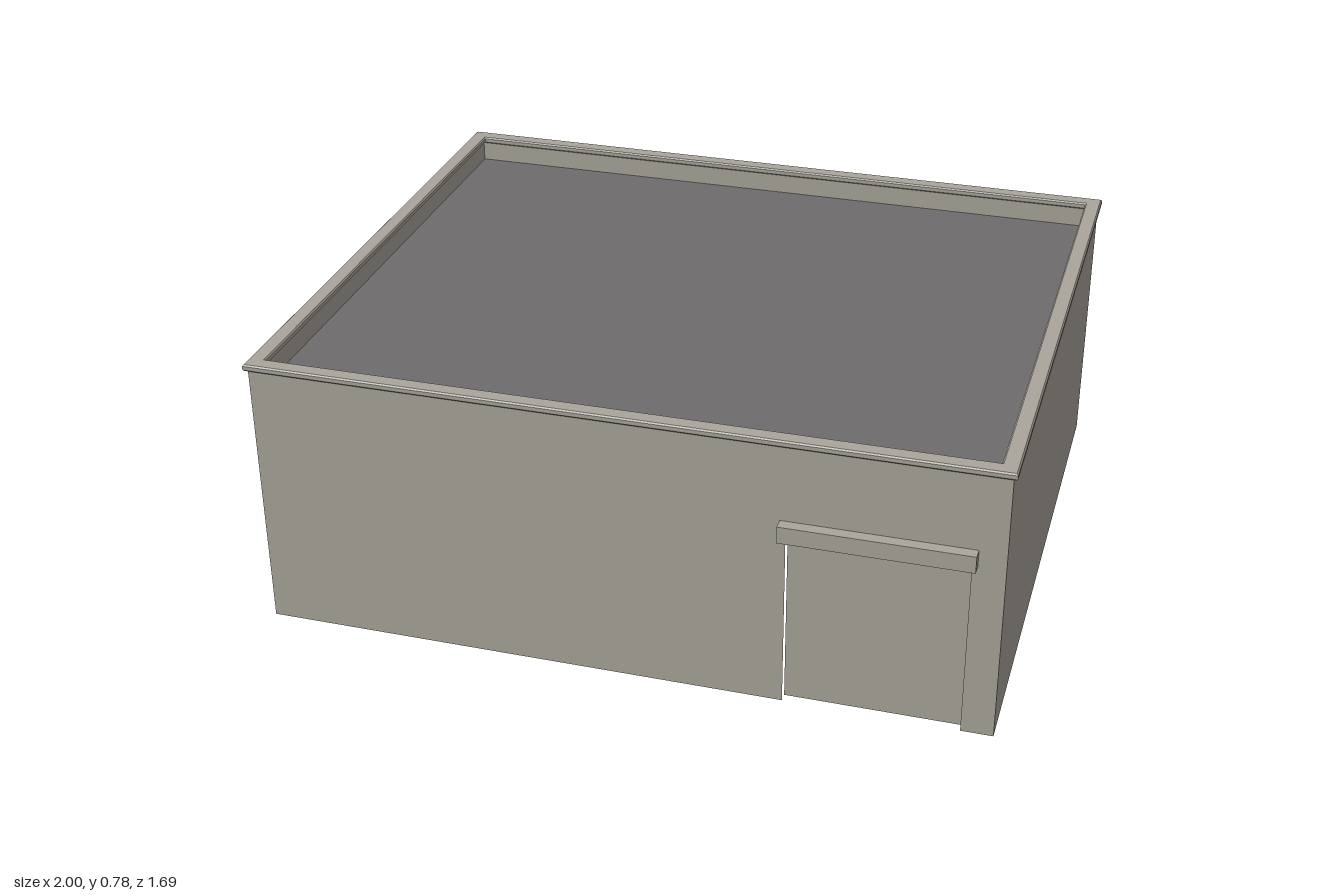
import * as THREE from 'three';

const X = 0.99, Z_FRONT = 0.813, Z_BACK = -0.833; // outer wall planes
const ZC = (Z_FRONT + Z_BACK) / 2, DEPTH = Z_FRONT - Z_BACK;
const WALL_H = 0.758, ROOF_Y = 0.70, INSET = 0.027;
const DOOR = { x0: 0.44, x1: 0.905, top: 0.51, recess: 0.024 };

export function createModel() {
  const wallMat = new THREE.MeshStandardMaterial({ color: 0xaaa69c, side: THREE.DoubleSide });
  wallMat.name = 'concrete';
  const roofMat = new THREE.MeshStandardMaterial({ color: 0x6e6c6d, side: THREE.DoubleSide });
  roofMat.name = 'roofing';
  const model = new THREE.Group();
  model.name = 'flatRoofBuilding';

  const add = (name, geometry, material, x = 0, y = 0, z = 0, rx = 0, ry = 0) => {
    const mesh = new THREE.Mesh(geometry, material);
    mesh.name = name;
    mesh.position.set(x, y, z);
    mesh.rotation.set(rx, ry, 0);
    model.add(mesh);
    return mesh;
  };

  // Front wall outline, running around the doorway
  const front = new THREE.Shape([
    [-X, 0], [DOOR.x0, 0], [DOOR.x0, DOOR.top], [DOOR.x1, DOOR.top],
    [DOOR.x1, 0], [X, 0], [X, WALL_H], [-X, WALL_H],
  ].map(([x, y]) => new THREE.Vector2(x, y)));
  add('frontWall', new THREE.ShapeGeometry(front), wallMat, 0, 0, Z_FRONT);

  // Remaining thin outer walls
  add('backWall', new THREE.PlaneGeometry(2 * X, WALL_H), wallMat, 0, WALL_H / 2, Z_BACK, 0, Math.PI);
  for (const [name, s] of [['leftWall', 1], ['rightWall', -1]]) {
    add(name, new THREE.PlaneGeometry(DEPTH, WALL_H), wallMat, s * X, WALL_H / 2, ZC, 0, s * Math.PI / 2);
  }

  // Recessed door panel and the lintel above it
  const doorW = DOOR.x1 - DOOR.x0;
  const doorX = (DOOR.x0 + DOOR.x1) / 2;
  add('door', new THREE.PlaneGeometry(doorW, DOOR.top), wallMat,
    doorX, DOOR.top / 2, Z_FRONT - DOOR.recess);
  add('lintel', new THREE.BoxGeometry(0.495, 0.047, 0.032), wallMat, 0.672, 0.522, Z_FRONT + 0.016);

  // Sunken flat roof
  const innerX = X - INSET, innerD = DEPTH - 2 * INSET;
  add('roof', new THREE.PlaneGeometry(2 * innerX, innerD), roofMat, 0, ROOF_Y, ZC, -Math.PI / 2);

  // Inner faces of the parapet, from roof up to the coping
  const lip = WALL_H - ROOF_Y, lipY = ROOF_Y + lip / 2;
  for (const s of [1, -1]) {
    add('parapetSide', new THREE.PlaneGeometry(innerD, lip), wallMat, s * innerX, lipY, ZC, 0, -s * Math.PI / 2);
    add('parapetEnd', new THREE.PlaneGeometry(2 * innerX, lip), wallMat,
      0, lipY, ZC + s * innerD / 2, 0, s > 0 ? Math.PI : 0);
  }

  // Coping ring with small bevelled edges
  const B = 0.004;
  const rect = (hx, hz) => [[-hx, -hz], [hx, -hz], [hx, hz], [-hx, hz]]
    .map(([x, y]) => new THREE.Vector2(x, y));
  const ring = new THREE.Shape(rect(1 - B, DEPTH / 2 + 0.01 - B));
  ring.holes.push(new THREE.Path(rect(0.955 + B, DEPTH / 2 - 0.035 + B).reverse()));
  const coping = new THREE.ExtrudeGeometry(ring, {
    depth: 0.019 - 2 * B, bevelEnabled: true, bevelThickness: B, bevelSize: B, bevelSegments: 1,
  });
  add('coping', coping, wallMat, 0, WALL_H + B, ZC, -Math.PI / 2);

  return model;
}
